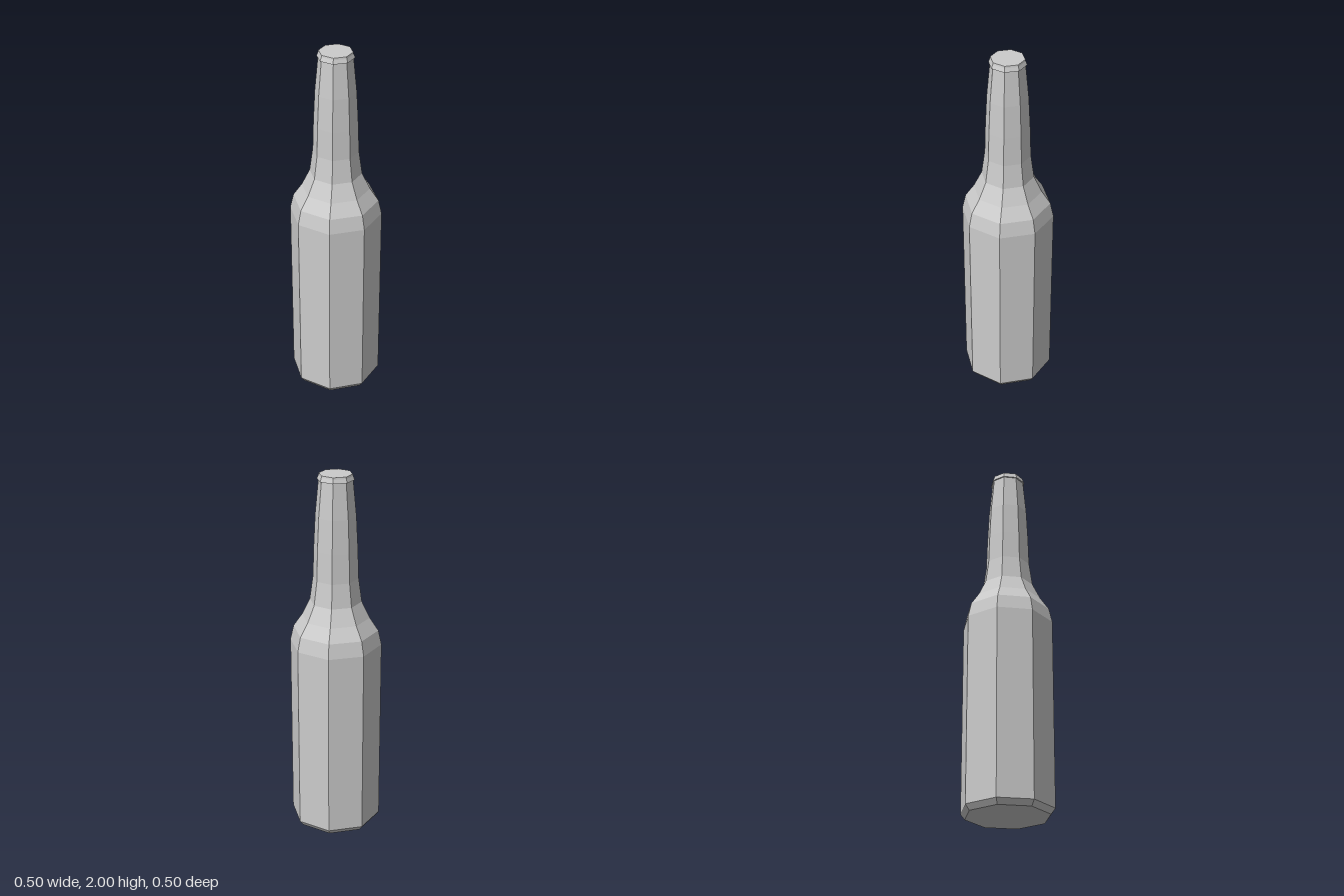
import * as THREE from 'three';

const SIDES = 8;

// Turn a [radius, height] profile, listed from bottom to top, into a faceted solid
function turned(name, profile, material) {
  const points = profile.map(([r, y]) => new THREE.Vector2(r, y));
  const mesh = new THREE.Mesh(new THREE.LatheGeometry(points, SIDES), material);
  mesh.name = name;
  return mesh;
}

export function createModel() {
  const model = new THREE.Group();
  model.name = 'bottle';
  const material = new THREE.MeshStandardMaterial({ color: 0xcccccc, flatShading: true });

  // Chamfered base, straight body, sloping shoulder and tapering neck
  model.add(turned('bottleBody', [
    [0, 0], [0.225, 0], [0.248, 0.03], [0.248, 1.07],
    [0.23, 1.15], [0.183, 1.22], [0.14, 1.31],
    [0.122, 1.44], [0.117, 1.6], [0.108, 1.78], [0.09, 1.97],
  ], material));

  // Closed cap, slightly wider than the neck
  model.add(turned('cap', [
    [0, 1.97], [0.098, 1.97], [0.09, 1.99], [0.088, 2], [0, 2],
  ], material));

  return model;
}
